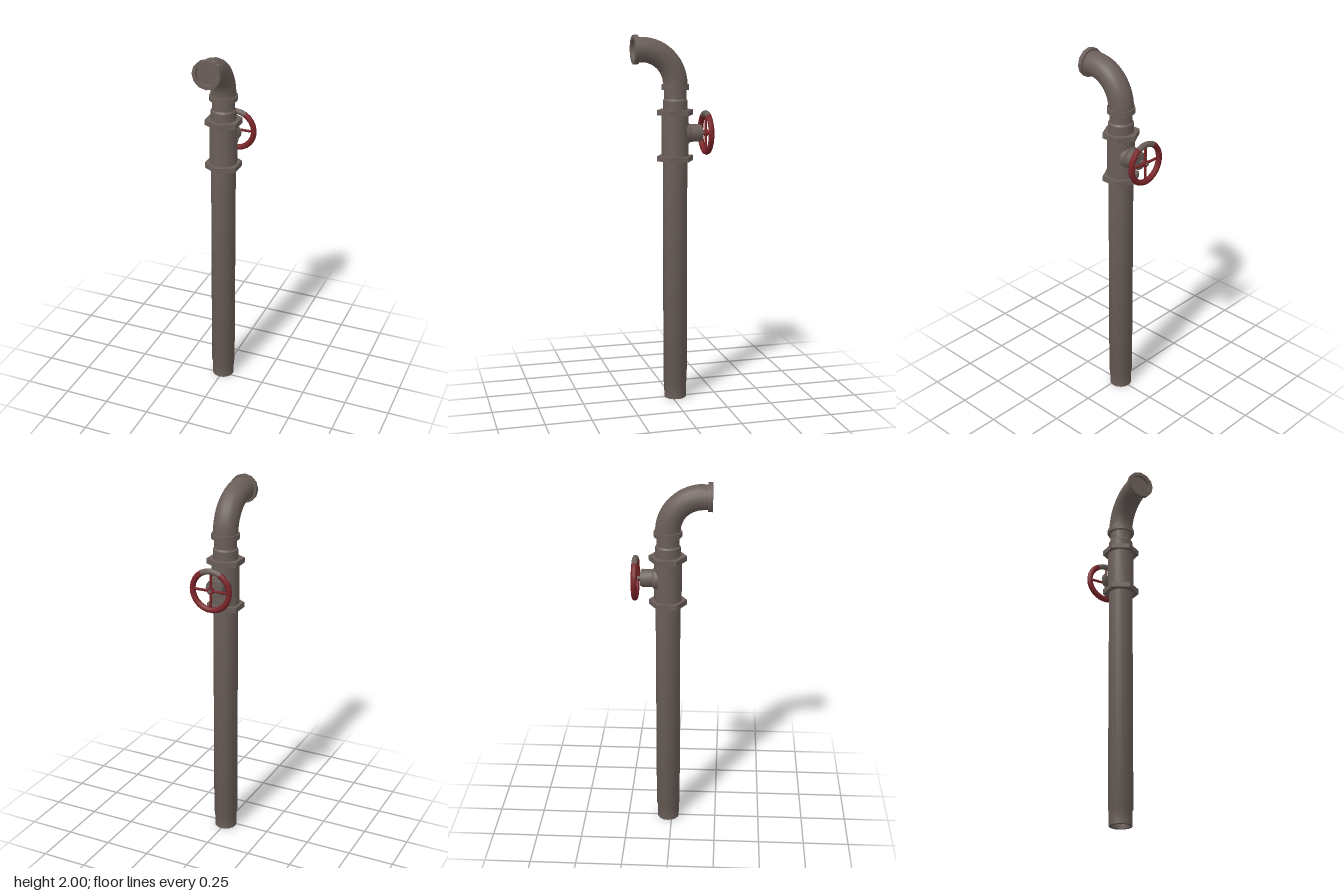
import * as THREE from 'three';
import { toCreasedNormals } from 'three/addons/utils/BufferGeometryUtils.js';

export function createModel() {
  const model = new THREE.Group();
  model.name = 'valvePipe';
  const iron = new THREE.MeshStandardMaterial({ name: 'rustyIron', color: 0x6a5e59 });
  const red = new THREE.MeshStandardMaterial({ name: 'wornRed', color: 0x7a2428 });

  const AXIS = -0.021;    // z of the upright pipe
  const WHEEL_Y = 1.478;  // height of the valve stem
  const MOUTH_Y = 1.925;  // height of the outlet

  const add = (name, geometry, material, x, y, z, parent = model) => {
    const mesh = new THREE.Mesh(geometry, material);
    mesh.name = name;
    mesh.position.set(x, y, z);
    parent.add(mesh);
    return mesh;
  };
  // Turned part from [radius, height] pairs, with sharp steps kept sharp
  const turned = (profile, sides = 16) => toCreasedNormals(
    new THREE.LatheGeometry(profile.map(([r, h]) => new THREE.Vector2(r, h)), sides), 0.6);

  // Upright pipe with a narrower, hollow foot
  add('mainPipe', turned([
    [0, 0.03], [0.047, 0.03], [0.047, 0], [0.061, 0], [0.061, 0.08], [0.066, 0.09], [0.066, 1.34],
  ]), iron, 0, 0, AXIS);

  // Valve body between two hex nuts
  add('valveBody', turned([[0.073, 1.345], [0.073, 1.595]]), iron, 0, 0, AXIS);
  for (const [name, y] of [['lowerNut', 1.345], ['upperNut', 1.592]]) {
    add(name, toCreasedNormals(new THREE.CylinderGeometry(0.1, 0.1, 0.028, 6), 0.5), iron, 0, y, AXIS);
  }

  // Neck and collar below the elbow
  add('neck', turned([[0.067, 1.6], [0.067, 1.655], [0.06, 1.665], [0.06, 1.72]]), iron, 0, 0, AXIS);
  add('collar', turned([[0.055, 1.713], [0.075, 1.713], [0.075, 1.74], [0.06, 1.74]], 12), iron, 0, 0, AXIS);

  // Quarter-turn elbow
  const bend = 0.185;
  const elbow = new THREE.TorusGeometry(bend, 0.066, 16, 14, Math.PI / 2).rotateY(Math.PI / 2);
  add('elbow', elbow, iron, 0, MOUTH_Y - bend, AXIS + bend);

  // Flanged outlet with a recessed mouth
  add('outlet', turned([
    [0.066, 0.162], [0.066, 0.184], [0.077, 0.184], [0.077, 0.209],
    [0.057, 0.209], [0.057, 0.19], [0, 0.19],
  ], 12).rotateX(Math.PI / 2), iron, 0, MOUTH_Y, 0);

  // Side branch holding the stem, pointing to the back
  add('valveBranch', turned([
    [0.062, 0.07], [0.058, 0.094], [0.048, 0.1], [0.048, 0.157], [0.043, 0.158], [0.043, 0.165], [0, 0.165],
  ]).rotateX(-Math.PI / 2), iron, 0, WHEEL_Y, 0);
  add('stem', turned([[0.009, 0.16], [0.009, 0.211], [0, 0.211]], 8).rotateX(-Math.PI / 2), iron, 0, WHEEL_Y, 0);

  // Hand wheel: red rim with paint worn off along the top
  const wheel = new THREE.Group();
  wheel.name = 'handWheel';
  wheel.position.set(0, WHEEL_Y, -0.193);
  model.add(wheel);
  const worn = Math.PI / 3;
  const rim = (arc, start) => new THREE.TorusGeometry(0.105, 0.016, 8, Math.round(arc * 4), arc).rotateZ(start);
  add('wheelRim', rim(Math.PI * 2 - worn, Math.PI / 2 + worn / 2), red, 0, 0, 0, wheel);
  add('wornRim', rim(worn, Math.PI / 2 - worn / 2), iron, 0, 0, 0, wheel);
  add('wheelHub', toCreasedNormals(
    new THREE.CylinderGeometry(0.018, 0.018, 0.018, 10).rotateX(Math.PI / 2), 0.7), red, 0, 0, 0, wheel);
  for (let i = 0; i < 4; i++) {
    const spoke = new THREE.CylinderGeometry(0.007, 0.007, 0.095, 6).translate(0, 0.055, 0);
    add('spoke', spoke.rotateZ(i * Math.PI / 2), red, 0, 0, 0, wheel);
  }

  return model;
}
